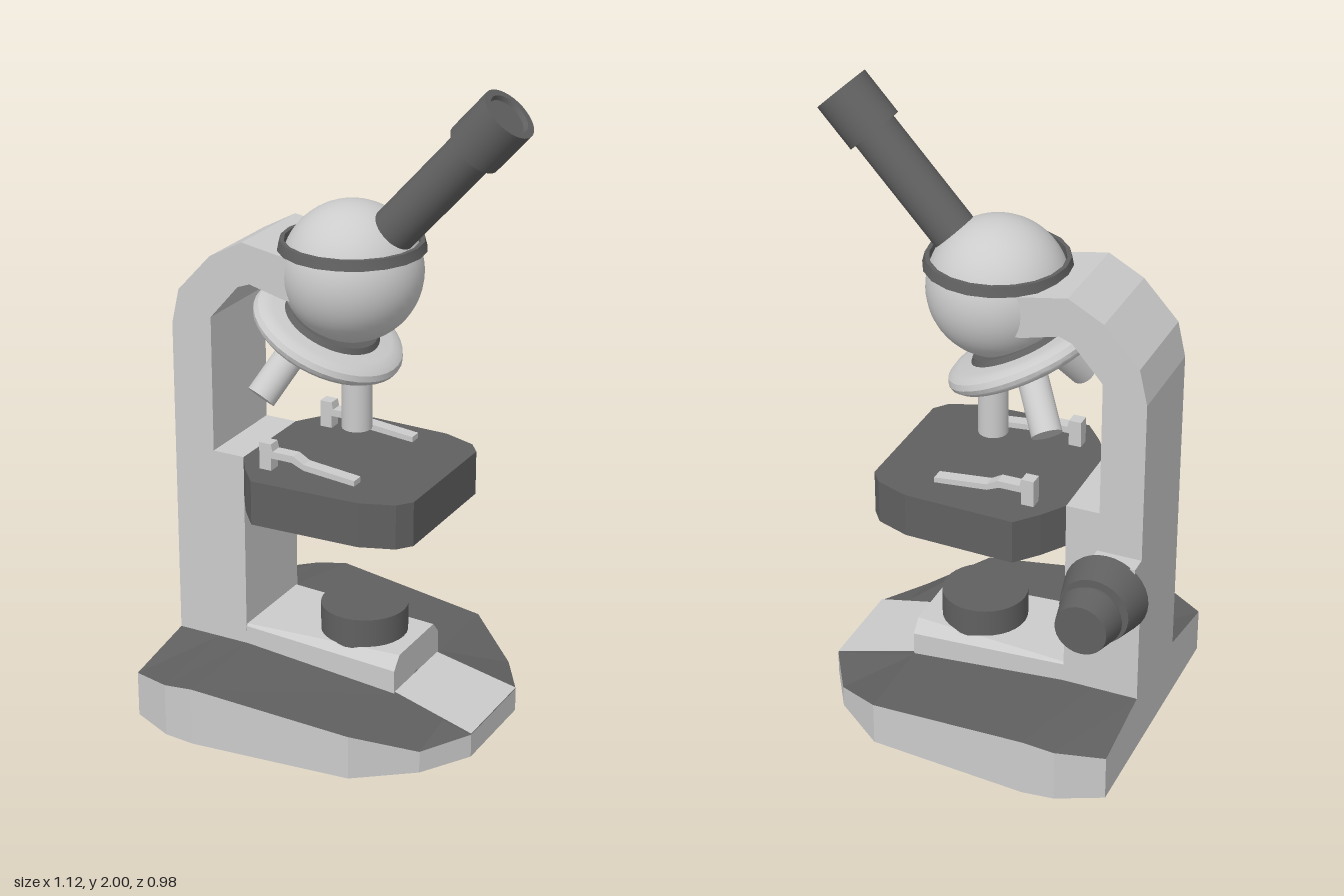
import * as THREE from 'three';
import { toCreasedNormals } from 'three/addons/utils/BufferGeometryUtils.js';

const light = new THREE.MeshStandardMaterial({ color: 0xcccccc });
const dark = new THREE.MeshStandardMaterial({ color: 0x606060 });
const V = (x, y, z) => new THREE.Vector3(x, y, z);

// Skin over rows of points, flat shaded
function skin(rows) {
  const pts = [];
  for (let i = 0; i < rows.length - 1; i++) {
    for (let j = 0; j < rows[i].length - 1; j++) {
      const a = rows[i][j], b = rows[i + 1][j], c = rows[i][j + 1], d = rows[i + 1][j + 1];
      pts.push(a, c, b, b, c, d);
    }
  }
  const g = new THREE.BufferGeometry().setFromPoints(pts);
  g.computeVertexNormals();
  return g;
}

// Turned part from [radius, height] pairs, bottom to top
function turned(profile, sides = 32) {
  const pts = profile.map(([r, y]) => new THREE.Vector2(r, y));
  return toCreasedNormals(new THREE.LatheGeometry(pts, sides), 0.6);
}

// Side profile in x, y, extruded between two z values
function slab(points, z0, z1) {
  const shape = new THREE.Shape(points.map(([x, y]) => new THREE.Vector2(x, y)));
  const g = new THREE.ExtrudeGeometry(shape, { depth: z1 - z0, bevelEnabled: false });
  return g.translate(0, 0, z0);
}

export function createModel() {
  const model = new THREE.Group();
  const add = (name, geometry, material = light) => {
    const m = new THREE.Mesh(geometry, material);
    m.name = name;
    model.add(m);
    return m;
  };

  // Base: stations of x, half width, rim height, middle height
  const stations = [
    [-0.52, 0.415, 0.145, 0.19], [-0.38, 0.48, 0.17, 0.19], [-0.28, 0.49, 0.186, 0.19],
    [0.23, 0.445, 0.14, 0.14], [0.4, 0.315, 0.07, 0.098], [0.495, 0.16, 0.075, 0.075],
  ];
  const topRows = stations.map(([x, w, e, m]) => [V(x, e, -w), V(x, m, -0.16), V(x, m, 0.16), V(x, e, w)]);
  add('baseTop', skin(topRows), dark);
  const rim = [
    ...topRows.map(r => r[3]).reverse(), topRows[0][2], topRows[0][1],
    ...topRows.map(r => r[0]), topRows[5][3],
  ];
  add('baseSides', skin(rim.map(p => [V(p.x, 0, p.z), p])));
  add('baseUnderside', skin(stations.map(([x, w]) => [V(x, 0, w), V(x, 0, -w)])));
  add('baseFrontRamp', skin([
    [V(0.23, 0.144, -0.145), V(0.23, 0.144, 0.145)],
    [V(0.495, 0.079, -0.16), V(0.495, 0.079, 0.16)],
  ]));

  // Plinth with tapering chamfers and a closed front end
  const section = (x, w, h, v) => [[-w, 0.07], [-w, h], [-v, 0.255], [v, 0.255], [w, h], [w, 0.07]]
    .map(([z, y]) => V(x, y, z));
  add('plinth', skin([
    section(-0.3, 0.16, 0.25, 0.155), section(0.23, 0.15, 0.215, 0.115),
    Array(6).fill(V(0.23, 0.15, 0)),
  ]));

  // Column and curved arm
  add('arm', slab([
    [-0.52, 0.15], [-0.28, 0.15], [-0.28, 0.82], [-0.385, 0.82], [-0.385, 1.25], [-0.29, 1.36],
    [-0.25, 1.375], [-0.13, 1.345], [-0.05, 1.345], [-0.05, 1.47], [-0.13, 1.475], [-0.2, 1.487],
    [-0.275, 1.5], [-0.385, 1.44], [-0.495, 1.32], [-0.52, 1.21],
  ], -0.16, 0.16));

  // Lamp and condenser
  for (const [name, y, h] of [['lamp', 0.295, 0.1], ['condenser', 0.642, 0.085]]) {
    add(name, new THREE.CylinderGeometry(0.135, 0.135, h, 32).translate(0.05, y, 0), dark);
  }

  // Stage plate
  const half = [[0.32, 0.21], [0.285, 0.255], [0.18, 0.293], [-0.17, 0.305], [-0.23, 0.235], [-0.28, 0.16]];
  const outline = [...half, ...half.map(([x, z]) => [x, -z]).reverse()];
  add('stage', slab(outline, 0.68, 0.82).rotateX(-Math.PI / 2), dark);

  // Stage clips
  const clip = [
    [-0.195, 0.815], [-0.155, 0.815], [-0.155, 0.86], [-0.085, 0.86], [-0.045, 0.843], [0.125, 0.828],
    [0.125, 0.845], [-0.045, 0.862], [-0.08, 0.882], [-0.15, 0.882], [-0.155, 0.905], [-0.195, 0.905],
  ];
  for (const z of [0.19, -0.185]) add('stageClip', slab(clip, z - 0.02, z + 0.02));

  // Focus knob and its mount
  add('knobMount', new THREE.BoxGeometry(0.14, 0.21, 0.06).translate(-0.45, 0.585, -0.185));
  const knob = add('focusKnob', turned([
    [0, 0], [0.133, 0], [0.108, 0.1], [0.083, 0.1], [0.083, 0.125], [0.098, 0.125], [0.08, 0.205], [0, 0.205],
  ]).rotateX(-Math.PI / 2), dark);
  knob.position.set(-0.43, 0.58, -0.21);

  // Round head with dark band
  add('head', new THREE.SphereGeometry(0.212, 40, 28).translate(0.006, 1.412, 0));
  add('headBand', turned([
    [0.199, 1.482], [0.221, 1.482], [0.213, 1.512], [0.2, 1.512], [0.199, 1.482],
  ], 20).translate(0.006, 0, 0), dark);

  // Tilted nosepiece
  const nose = new THREE.Group();
  nose.name = 'nosepiece';
  nose.position.set(-0.075, 1.207, 0);
  nose.rotation.z = -0.445;
  const disc = new THREE.Mesh(turned([
    [0, -0.035], [0.19, -0.034], [0.22, -0.025], [0.236, -0.01], [0.239, 0.003],
    [0.232, 0.02], [0.215, 0.031], [0.19, 0.035], [0, 0.035],
  ], 40), light);
  disc.name = 'nosepieceDisc';
  const collar = new THREE.Mesh(new THREE.CylinderGeometry(0.14, 0.18, 0.05, 40).translate(0, 0.025, 0), dark);
  collar.name = 'nosepieceCollar';
  nose.add(disc, collar);
  model.add(nose);

  // Places a turned part with its base at a, pointing to b
  const aim = (mesh, a, b) => {
    mesh.position.copy(a);
    mesh.quaternion.setFromUnitVectors(V(0, 1, 0), b.clone().sub(a).normalize());
  };

  // Objectives
  const objectives = [
    [V(0.022, 1.16, 0), V(0.022, 0.92, 0)],
    [V(-0.105, 1.22, 0.09), V(-0.177, 1.058, 0.225)],
    [V(-0.13, 1.23, -0.09), V(-0.235, 1.075, -0.205)],
  ];
  for (const [a, b] of objectives) {
    const len = a.distanceTo(b);
    aim(add('objective', new THREE.CylinderGeometry(0.046, 0.046, len, 24).translate(0, len / 2, 0)), a, b);
  }

  // Eyepiece tube with a recessed cap
  const eyepiece = add('eyepiece', turned([
    [0, 0], [0.07, 0], [0.07, 0.42], [0.087, 0.42], [0.087, 0.573], [0.066, 0.573], [0.06, 0.56], [0, 0.56],
  ]), dark);
  aim(eyepiece, V(0.11, 1.52, 0), V(0.494, 1.942, 0));

  return model;
}
